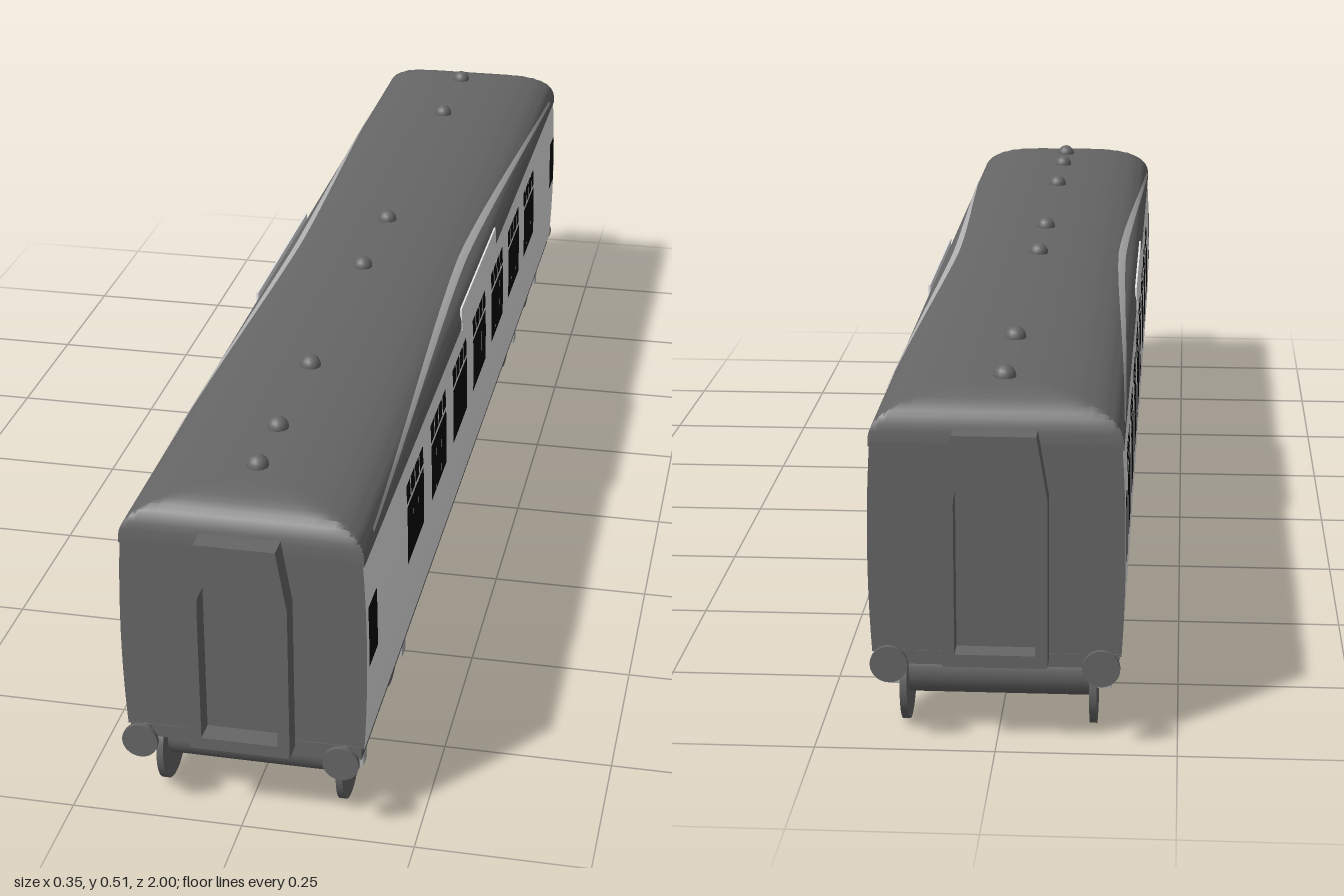
import * as THREE from 'three';
import { toCreasedNormals } from 'three/addons/utils/BufferGeometryUtils.js';

const END = 0.965;
const EAVES = 0.431;
const RISE = 0.066;

function flat(name, hex) {
  const m = new THREE.MeshStandardMaterial({ color: hex });
  m.name = name;
  return m;
}

// Half width of the bulging body side at height y
const sideX = (y) => 0.176 - 0.22 * (y - 0.27) ** 2;

// Roof height limit near the ends, which makes the hips
function hip(z) {
  const d = Math.min(1, (END - Math.abs(z)) / 0.09);
  return RISE * (1 - (1 - d) ** 2.6) ** (1 / 2.6);
}

// Point on the roof at angle a from the crown
function roofPoint(a, z) {
  const x = Math.sign(a) * 0.1725 * Math.abs(Math.sin(a)) ** 0.82;
  const arch = RISE * Math.max(0, Math.cos(a)) ** 0.82;
  return [x, EAVES + Math.min(arch, hip(z)), z];
}

// Move the points of a grid by a rule of u and v
function sheet(nu, nv, rule) {
  const g = new THREE.PlaneGeometry(1, 1, nu, nv);
  const p = g.attributes.position;
  for (let i = 0; i < p.count; i++) {
    p.setXYZ(i, ...rule((i % (nu + 1)) / nu, Math.floor(i / (nu + 1)) / nv));
  }
  g.computeVertexNormals();
  return g;
}

export function createModel() {
  const model = new THREE.Group();
  model.name = 'railwayCoach';
  const dark = flat('darkGrey', 0x666666);
  const mid = flat('midGrey', 0xb0b0b0);
  const light = flat('lightGrey', 0xe6e6e6);
  const black = flat('windowBlack', 0x050505);

  function add(name, geo, mat, x = 0, y = 0, z = 0, parent = model) {
    const m = new THREE.Mesh(geo, mat);
    m.name = name;
    m.position.set(x, y, z);
    parent.add(m);
    return m;
  }
  const box = (name, w, h, d, x, y, z, mat = dark, parent = model) =>
    add(name, new THREE.BoxGeometry(w, h, d), mat, x, y, z, parent);

  // Body: dark ends and light bulging sides
  const right = [], left = [];
  for (let i = 0; i <= 10; i++) {
    const y = 0.13 + 0.03 * i;
    right.push(new THREE.Vector2(sideX(y), y));
    left.unshift(new THREE.Vector2(-sideX(y), y));
  }
  const bodyGeo = new THREE.ExtrudeGeometry(new THREE.Shape([...right, ...left]),
    { depth: 2 * END, bevelEnabled: false });
  bodyGeo.translate(0, 0, -END);
  add('body', toCreasedNormals(bodyGeo, 0.6), [dark, light]);

  // Roof with hipped ends, eaves and ventilators
  const stations = [0, 0.0008, 0.003, 0.007, 0.012, 0.02, 0.03, 0.042, 0.056, 0.072, 0.09, 0.5];
  const zs = [...stations.map((d) => d - END), 0, ...stations.map((d) => END - d).reverse()];
  const last = zs.length - 1;
  const roofGeo = sheet(40, last, (u, v) => roofPoint((u - 0.5) * Math.PI, zs[Math.round(v * last)]));
  add('roof', toCreasedNormals(roofGeo, 0.7), dark);
  box('eaves', 0.345, 0.006, 2 * END, 0, 0.428, 0);
  for (const z of [0.84, 0.72, 0.51, 0.12, -0.09, -0.65, -0.86]) {
    add('roofVentilator', new THREE.SphereGeometry(0.016, 16, 10), dark, -0.005, 0.498, z);
  }

  for (const s of [1, -1]) {
    // Pale band rising along the roof shoulder, widest at the middle
    add('roofBand', sheet(4, 60, (u, v) => {
      const z = (v - 0.5) * 1.8;
      const rise = 1 - (Math.abs(z) / 0.9) ** 1.5;
      const a = s * (1.42 - 0.5 * rise) + (u - 0.5) * (0.08 + 0.06 * rise);
      const [x, y] = roofPoint(a, z);
      return [x + s * 0.001, y + 0.001, z];
    }), mid);
    // Long board above the windows, continuing the side upward
    const board = box('sideBoard', 0.003, 0.038, 0.36, s * 0.1718, 0.441, 0, light);
    board.rotation.z = s * 0.05;
  }

  // A window pane laid on the curved side s
  function pane(name, s, z, w, y0, y1) {
    add(name, sheet(1, 4, (u, v) => {
      const y = y1 + (y0 - y1) * v;
      return [s * (sideX(y) + 0.001), y, z - s * (u - 0.5) * w];
    }), black);
  }
  for (const s of [1, -1]) {
    const count = s > 0 ? 7 : 8;
    for (let i = 0; i < count; i++) {
      const z = 0.603 - 0.199 * i;
      for (const k of [-1, 0, 1]) pane('windowPane', s, z + k * 0.0445, 0.0437, 0.26, 0.355);
      for (let k = 0; k < 4; k++) pane('topLight', s, z + (k - 1.5) * 0.0345, 0.029, 0.361, 0.391);
    }
    for (const z of [0.925, -0.925]) pane('endWindow', s, z, 0.058, 0.26, 0.354);
  }

  // Gangway frame with an arched opening
  const gangway = new THREE.Shape([[-0.072, 0.123], [0.072, 0.123], [0.072, 0.362],
    [0.057, 0.452], [-0.057, 0.452], [-0.072, 0.362]].map((p) => new THREE.Vector2(...p)));
  const door = new THREE.Path();
  door.moveTo(-0.055, 0.141);
  door.lineTo(-0.055, 0.355);
  door.absellipse(0, 0.355, 0.055, 0.053, Math.PI, 0, true);
  door.lineTo(0.055, 0.141);
  door.closePath();
  gangway.holes.push(door);
  const gangwayGeo = new THREE.ExtrudeGeometry(gangway,
    { depth: 0.033, bevelEnabled: false, curveSegments: 16 });

  // Coach ends: gangway and buffers
  for (const e of [1, -1]) {
    const end = new THREE.Group();
    end.name = e > 0 ? 'frontEnd' : 'backEnd';
    end.rotation.y = e > 0 ? 0 : Math.PI;
    model.add(end);
    add('gangway', gangwayGeo, dark, 0, 0, END, end);
    for (const s of [1, -1]) {
      const head = add('bufferHead', new THREE.CylinderGeometry(0.026, 0.026, 0.007, 28),
        dark, s * 0.145, 0.125, 0.9965, end);
      const stem = add('bufferStem', new THREE.CylinderGeometry(0.009, 0.009, 0.04, 14),
        dark, s * 0.145, 0.125, 0.975, end);
      head.rotation.x = stem.rotation.x = Math.PI / 2;
    }
  }

  // Underframe
  box('underframe', 0.336, 0.02, 2 * END + 0.002, 0, 0.123, 0);

  // Truss under the floor: sloping rails, posts and cross bars
  const rail = new THREE.Shape([[-0.54, 0.125], [-0.5, 0.125], [-0.355, 0.077], [0.355, 0.077],
    [0.5, 0.125], [0.54, 0.125], [0.36, 0.062], [-0.36, 0.062]].map((p) => new THREE.Vector2(...p)));
  const railGeo = new THREE.ExtrudeGeometry(rail, { depth: 0.014, bevelEnabled: false });
  railGeo.translate(0, 0, -0.007);
  railGeo.rotateY(Math.PI / 2);
  for (const s of [1, -1]) add('trussRail', railGeo, dark, s * 0.13);
  for (let i = -5; i <= 5; i++) {
    const z = i * 0.086;
    const low = Math.abs(i) === 5 ? 0.095 : 0.068;
    for (const s of [1, -1]) {
      box('trussPost', 0.014, 0.125 - low, 0.014, s * 0.13, (0.125 + low) / 2, z);
    }
    box('trussCrossBar', 0.26, 0.012, 0.012, 0, low + 0.003, z);
  }

  // Bogies with wheels, axle drums and axle boxes
  for (const c of [0.737, -0.733]) {
    const bogie = new THREE.Group();
    bogie.name = 'bogie';
    bogie.position.z = c;
    model.add(bogie);
    box('bogieFrame', 0.276, 0.037, 0.28, 0, 0.0885, 0, dark, bogie);
    box('bogiePivot', 0.1, 0.03, 0.1, 0, 0.11, 0, dark, bogie);
    for (const e of [1, -1]) {
      const z = e * 0.148;
      const drum = add('axleDrum', new THREE.CylinderGeometry(0.04, 0.04, 0.26, 28),
        dark, 0, 0.08, z, bogie);
      drum.rotation.z = Math.PI / 2;
      for (const s of [1, -1]) {
        const wheel = add('wheel', new THREE.CylinderGeometry(0.067, 0.067, 0.01, 36),
          dark, s * 0.132, 0.067, z, bogie);
        wheel.rotation.z = Math.PI / 2;
        box('axleBox', 0.022, 0.028, 0.026, s * 0.145, 0.067, z, mid, bogie);
      }
    }
  }
  return model;
}
